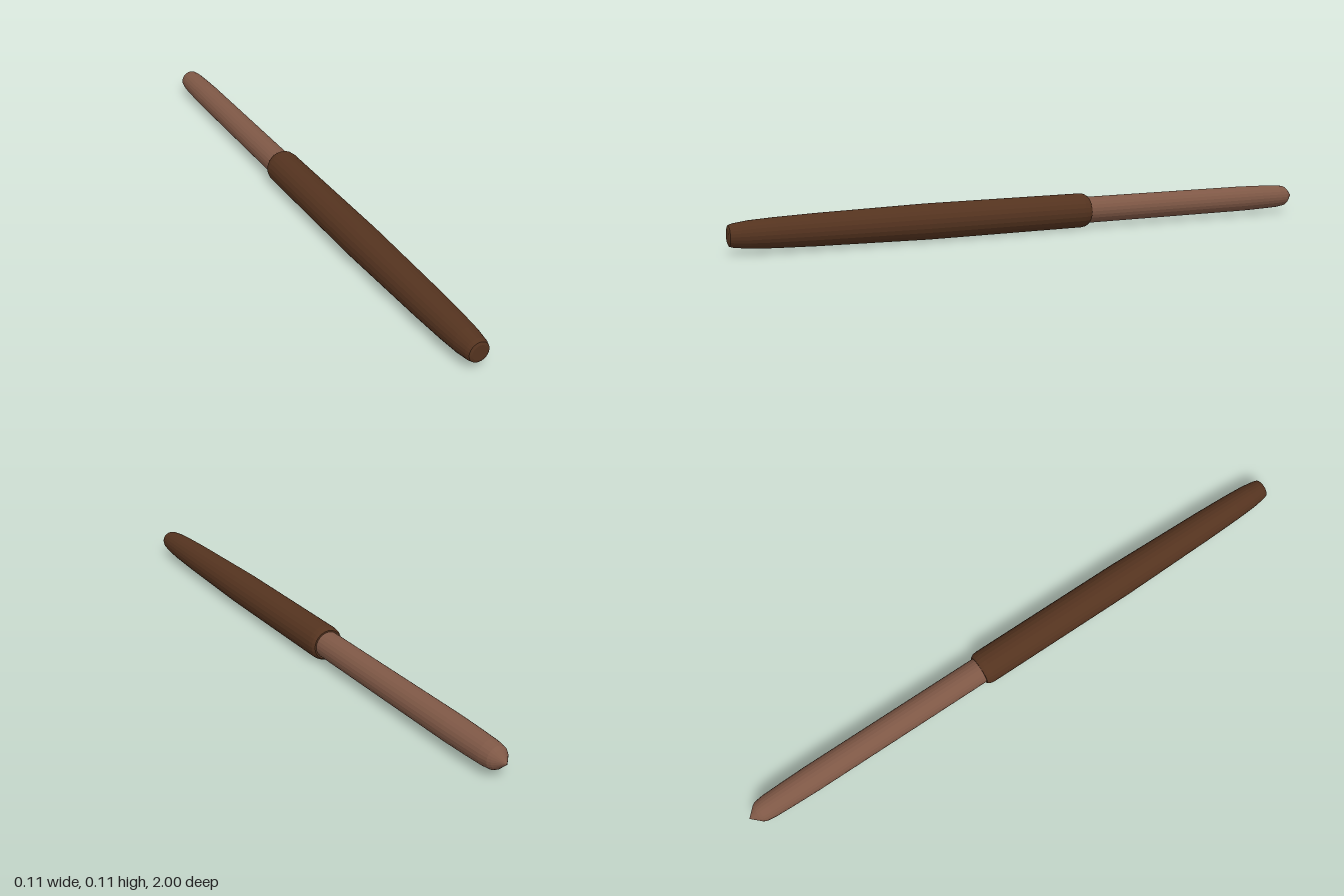
import * as THREE from 'three';

const AXIS_HEIGHT = 0.057;

// Turned part along z; profile is [radius, z] listed from back to front
function turned(name, profile, material) {
  const points = profile.map(([r, z]) => new THREE.Vector2(r, z));
  const geometry = new THREE.LatheGeometry(points, 24);
  geometry.rotateX(Math.PI / 2);
  const mesh = new THREE.Mesh(geometry, material);
  mesh.name = name;
  mesh.position.y = AXIS_HEIGHT;
  return mesh;
}

export function createModel() {
  const darkWood = new THREE.MeshStandardMaterial({ color: 0x54331f, flatShading: true });
  darkWood.name = 'dark brown';
  const lightWood = new THREE.MeshStandardMaterial({ color: 0x7f5846, flatShading: true });
  lightWood.name = 'light brown';

  const group = new THREE.Group();
  group.name = 'roundStick';

  // Thick grip with a chamfered collar and tapered, rounded front end
  group.add(turned('grip', [
    [0, -0.155], [0.048, -0.155], [0.054, -0.145], [0.056, -0.13],
    [0.056, 0.4], [0.053, 0.55], [0.049, 0.75], [0.045, 0.87],
    [0.041, 0.94], [0.035, 0.985], [0.031, 0.997], [0.023, 1], [0, 1],
  ], darkWood));

  // Slim shaft with a rounded shoulder and short conical tip
  group.add(turned('shaft', [
    [0, -1], [0.029, -0.97], [0.035, -0.96], [0.039, -0.93],
    [0.041, -0.87], [0.043, -0.78], [0.043, -0.14],
  ], lightWood));

  return group;
}
